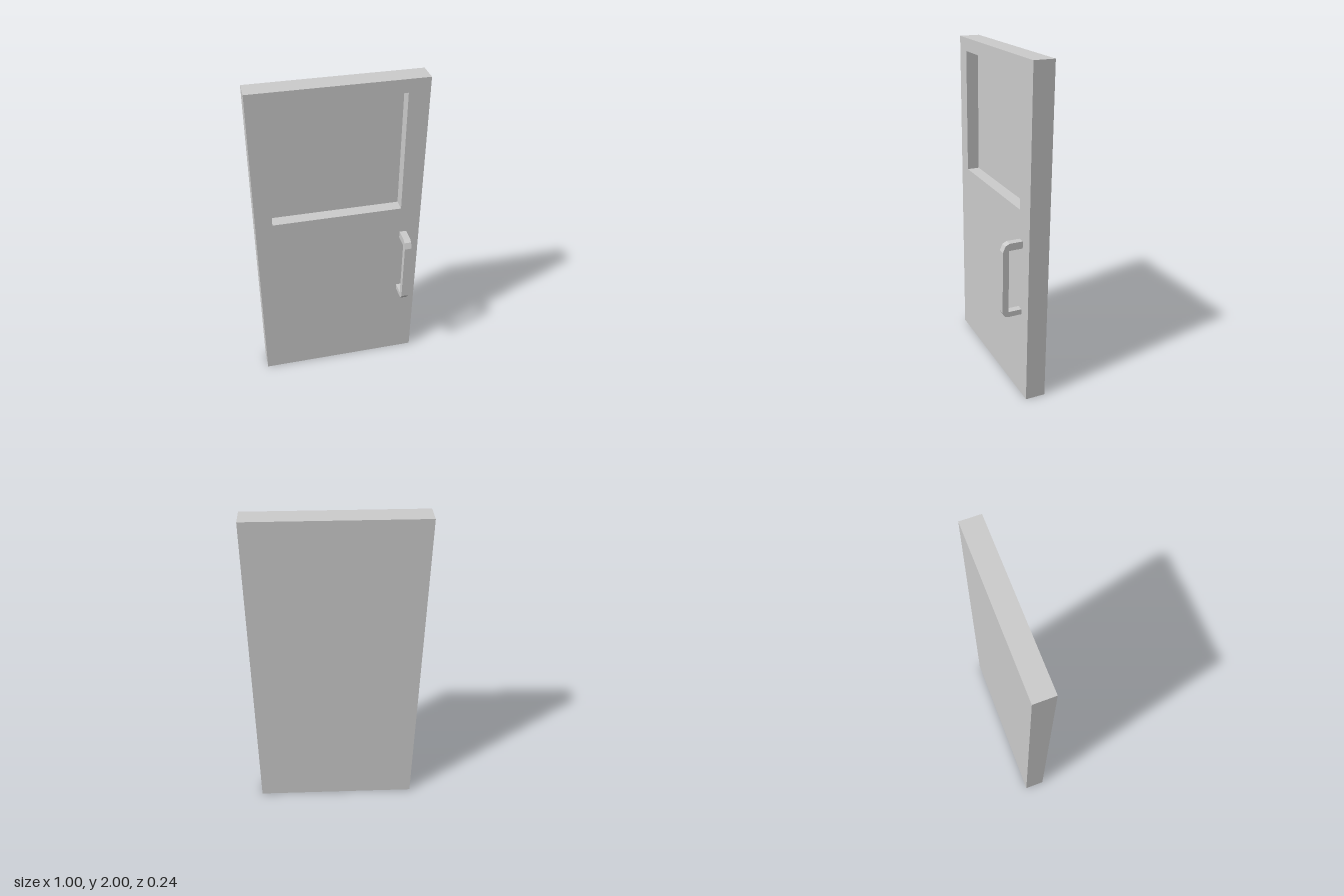
import * as THREE from 'three';

const material = new THREE.MeshStandardMaterial({ color: 0xcccccc, flatShading: true });

function addMesh(group, name, geometry) {
  const mesh = new THREE.Mesh(geometry, material);
  mesh.name = name;
  group.add(mesh);
}

const points = (list) => list.map(([x, y]) => new THREE.Vector2(x, y));

const rectangle = (x0, y0, x1, y1) => points([[x0, y0], [x1, y0], [x1, y1], [x0, y1]]);

export function createModel() {
  const door = new THREE.Group();
  door.name = 'door';
  const recess = 0.075, thickness = 0.123;

  // Front layer with the window opening
  const face = new THREE.Shape(rectangle(-0.5, 0, 0.5, 2));
  face.holes.push(new THREE.Path(rectangle(-0.4, 1.173, 0.377, 1.922)));
  const front = new THREE.ExtrudeGeometry(face, { depth: recess, bevelEnabled: false });
  addMesh(door, 'doorFront', front.translate(0, 0, -recess));

  // Solid back layer, which closes the recess
  const backDepth = thickness - recess;
  const back = new THREE.BoxGeometry(1, 2, backDepth);
  addMesh(door, 'doorBack', back.translate(0, 1, -recess - backDepth / 2));

  // Pull handle: side profile (z, y) with chamfered corners, extruded across x
  const profile = new THREE.Shape(points([
    [0, 0.54], [0.08, 0.54], [0.105, 0.547], [0.12, 0.573],
    [0.12, 0.952], [0.105, 0.988], [0.08, 1], [0, 1],
    [0, 0.957], [0.083, 0.957], [0.083, 0.572], [0, 0.572],
  ]));
  const handle = new THREE.ExtrudeGeometry(profile, { depth: 0.042, bevelEnabled: false });
  addMesh(door, 'handle', handle.rotateY(-Math.PI / 2).translate(0.419, 0, 0));

  return door;
}
